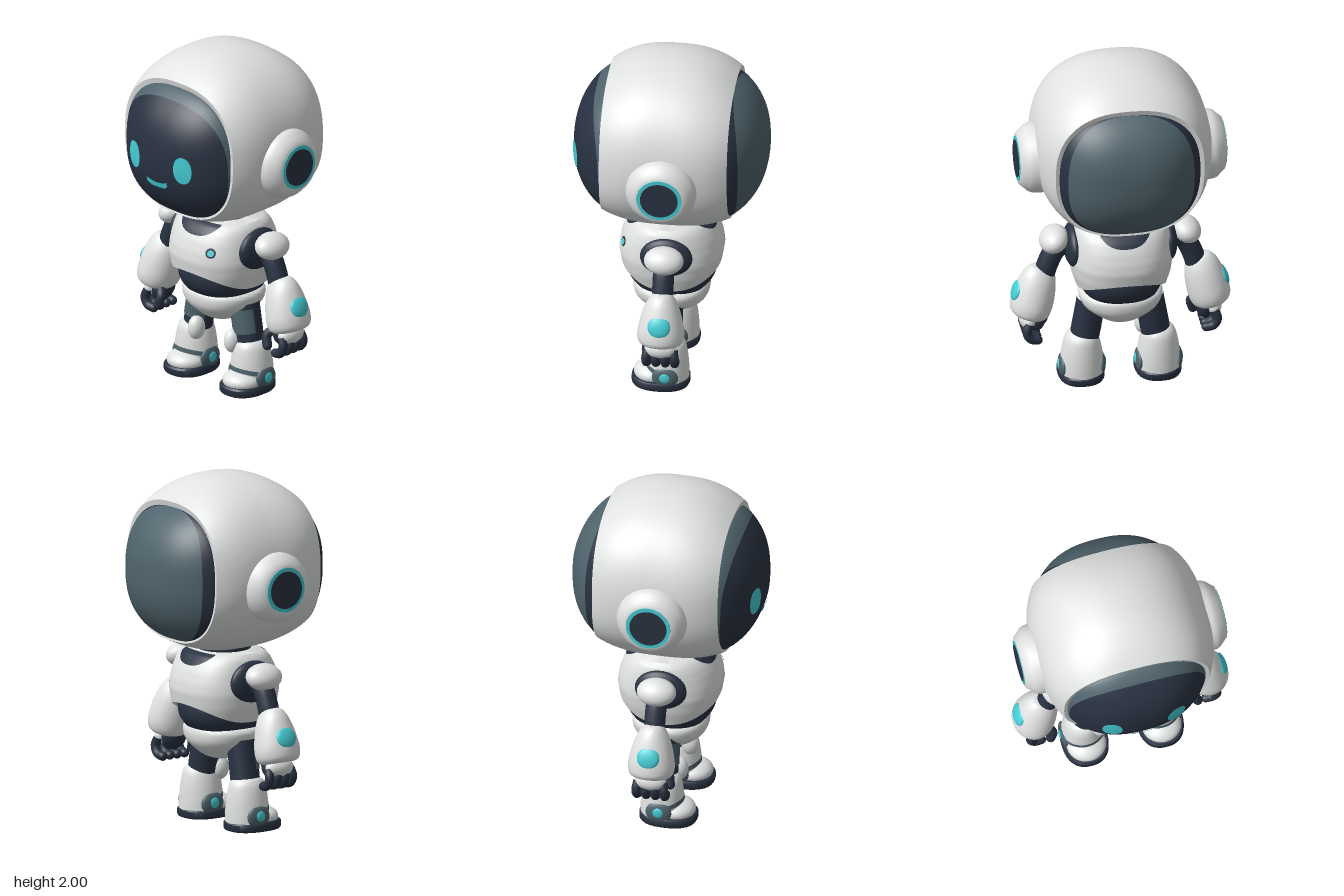
import * as THREE from 'three';
import { toCreasedNormals } from 'three/addons/utils/BufferGeometryUtils.js';
import { ParametricGeometry } from 'three/addons/geometries/ParametricGeometry.js';

const material = (name, color) => {
  const m = new THREE.MeshStandardMaterial({ color });
  m.name = name;
  return m;
};
const TAU = Math.PI * 2;
const lerp = THREE.MathUtils.lerp;
const V = (x, y, z) => new THREE.Vector3(x, y, z);

// Smooth surface from f(u, v) -> [x, y, z]
function surface(f, nu = 48, nv = 16) {
  const g = new ParametricGeometry((u, v, p) => p.set(...f(u, v)), nu, nv);
  g.deleteAttribute('uv');
  return toCreasedNormals(g, 0.7);
}

// Point on a superellipse
function oval(angle, a, b, n) {
  const c = Math.cos(angle), s = Math.sin(angle);
  return [a * Math.sign(c) * Math.abs(c) ** (2 / n), b * Math.sign(s) * Math.abs(s) ** (2 / n)];
}

// Rounded body from [y, rx, rz] sections, listed top to bottom
function loft(sections, n = 2, straight = false) {
  const pts = sections.map((s) => V(...s));
  const curve = new THREE.CatmullRomCurve3(pts);
  const last = pts.length - 1;
  return surface((u, v) => {
    const i = Math.min(last - 1, Math.floor(v * last + 1e-6));
    const p = straight ? pts[i].clone().lerp(pts[i + 1], v * last - i) : curve.getPoint(v);
    const [x, z] = oval(u * TAU, Math.max(0, p.y), Math.max(0, p.z), n);
    return [x, p.x, z];
  }, 44, straight ? last : last * 4);
}

const ball = (rx, ry, rz, x, y, z, tilt = 0) =>
  new THREE.SphereGeometry(1, 28, 18).scale(rx, ry, rz).rotateZ(tilt).translate(x, y, z);

const tube = (points, r) =>
  new THREE.TubeGeometry(new THREE.CatmullRomCurve3(points.map((p) => V(...p))), 14, r, 16);

// Mirror a geometry across x, keeping its faces outward
function mirror(geometry) {
  const g = geometry.index ? geometry.toNonIndexed() : geometry.clone();
  g.scale(-1, 1, 1);
  for (const key of ['position', 'normal']) {
    const a = g.getAttribute(key);
    for (let i = 0; i < a.count; i += 3) {
      const p = V().fromBufferAttribute(a, i + 1), q = V().fromBufferAttribute(a, i + 2);
      a.setXYZ(i + 1, q.x, q.y, q.z);
      a.setXYZ(i + 2, p.x, p.y, p.z);
    }
  }
  return g;
}

// Domed visor: height over (x, y), and rings between two outlines on it
const VY = 1.467, VN = 2.5;
function dome(x, y) {
  const r = Math.min(1, (Math.abs(x / 0.4) ** VN + Math.abs((y - VY) / 0.378) ** VN) ** (1 / VN));
  return 0.35 + 0.197 * (1 - r ** 2.4) ** 0.8;
}
const outline = (cx, cy, a, b, n = VN) => (t) => {
  const [x, y] = oval(t, a, b, n);
  return [cx + x, cy + y];
};
const domePatch = (outer, inner, lift = 0, rings = 14) => surface((u, v) => {
  const o = outer(u * TAU), i = inner(u * TAU);
  const x = lerp(o[0], i[0], v), y = lerp(o[1], i[1], v);
  return [x, y, dome(x, y) + lift];
}, 72, rings);

// Chest outline by height
const CHEST = [[1.0, 0.235, 0.175], [0.985, 0.255, 0.205], [0.95, 0.268, 0.237], [0.9, 0.277, 0.265],
  [0.84, 0.285, 0.285], [0.78, 0.29, 0.293], [0.7, 0.28, 0.28], [0.6, 0.25, 0.25]];
function chestPoint(angle, y, scale = 1) {
  let i = 0;
  while (i < CHEST.length - 2 && y < CHEST[i + 1][0]) i++;
  const [a, b] = [CHEST[i], CHEST[i + 1]];
  const t = (a[0] - y) / (a[0] - b[0]);
  const [x, z] = oval(angle, lerp(a[1], b[1], t) * scale, lerp(a[2], b[2], t) * scale, 2.4);
  return [x, y, z];
}

export function createModel() {
  const white = material('shell white', 0xe0e3e2);
  const navy = material('dark navy', 0x293242);
  const slate = material('slate', 0x4f636c);
  const cyan = material('glow cyan', 0x45cdd6);

  const model = new THREE.Group();
  model.name = 'robot';
  const group = (name) => {
    const g = new THREE.Group();
    g.name = name;
    model.add(g);
    return g;
  };
  const add = (parent, name, geometry, mat) => {
    const mesh = new THREE.Mesh(geometry, mat);
    mesh.name = name;
    parent.add(mesh);
    return mesh;
  };
  const pair = (parent, name, geometry, mat) => {
    add(parent, name + 'Left', geometry, mat);
    add(parent, name + 'Right', mirror(geometry), mat);
  };

  // Head shell, with a lip turned in around each visor
  const head = group('head');
  add(head, 'headShell', surface((u, v) => {
    const k = Math.round(v * 26);
    const lip = k === 0 || k === 26;
    const t = THREE.MathUtils.clamp((k - 13) / 12, -1, 1), q = Math.abs(t);
    const top = 2 - 0.125 * q ** 2.3, bottom = 1 + 0.08 * q ** 2.3;
    const s = lip ? 0.92 : 1;
    const [x, y] = oval(u * TAU, (0.5 - 0.08 * q ** 3) * s, (top - bottom) / 2 * s, 2.13 + 0.32 * q * q);
    return [x, (top + bottom) / 2 + y, t * (lip ? 0.352 : 0.36)];
  }, 72, 26), white);

  // Front and back visors
  const edge = outline(0, VY, 0.4, 0.378);
  const screen = outline(0, 1.442, 0.391, 0.351);
  const backPanel = outline(0, VY, 0.357, 0.377);
  const middle = outline(0, VY, 0, 0);
  add(head, 'visorRim', domePatch(edge, screen, 0, 8), slate);
  add(head, 'visorScreen', domePatch(screen, middle), navy);
  add(head, 'backVisorSides', domePatch(edge, backPanel, 0, 8), navy).rotation.y = Math.PI;
  add(head, 'backVisorPanel', domePatch(backPanel, middle), slate).rotation.y = Math.PI;

  // Eyes and smile
  pair(head, 'eye', domePatch(outline(0.185, 1.444, 0.054, 0.079, 2.2),
    outline(0.185, 1.444, 0, 0), 0.006, 6), cyan);
  add(head, 'smile', surface((u, v) => {
    const t = 2 * u - 1, x = 0.077 * t;
    const y = lerp(1.3 + 0.02 * t ** 4, 1.33 + 0.016 * t * t, v);
    return [x, y, dome(x, y) + 0.006];
  }, 20, 3), cyan);

  // Ear pods
  const ear = (sections) => loft(sections, 2, true).rotateZ(-Math.PI / 2).translate(0, 1.428, 0);
  pair(head, 'earPod', ear([[0.575, 0, 0], [0.575, 0.125, 0.125], [0.583, 0.128, 0.128], [0.579, 0.147, 0.147],
    [0.555, 0.168, 0.168], [0.535, 0.187, 0.187], [0.51, 0.198, 0.198], [0.42, 0.202, 0.202]]), white);
  pair(head, 'earRing', ear([[0.586, 0, 0], [0.586, 0.127, 0.127], [0.57, 0.127, 0.127]]), cyan);
  pair(head, 'earDisc', ear([[0.59, 0, 0], [0.59, 0.106, 0.106], [0.575, 0.106, 0.106]]), navy);

  // Torso
  const body = group('body');
  add(body, 'neck', loft([[1.06, 0.15, 0.15], [1.0, 0.15, 0.15], [0.93, 0.15, 0.15]]), navy);
  add(body, 'chest', surface((u, v) => {
    const a = u * TAU, k = Math.round(v * 22);
    const bottom = 0.71 - 0.095 * Math.cos(a) ** 2;
    if (k === 0) return [0, 1, 0];
    return chestPoint(a, lerp(1, bottom, Math.min(1, (k - 1) / 20)), k === 22 ? 0.85 : 1);
  }, 64, 22), white);
  const collar = surface((u, v) => {
    const t = 2 * u - 1;
    return chestPoint(Math.PI / 2 - 0.54 * t, lerp(0.93 + 0.066 * t * t, 0.999, v), 1.015);
  }, 24, 8);
  add(body, 'collarFront', collar, navy);
  add(body, 'collarBack', collar, navy).rotation.y = Math.PI;
  add(body, 'belly', loft([[0.76, 0.2, 0.2], [0.7, 0.235, 0.25], [0.62, 0.23, 0.247], [0.54, 0.2, 0.19]], 2.3), navy);
  add(body, 'pelvis', loft([[0.575, 0, 0], [0.575, 0.2, 0.18], [0.55, 0.236, 0.212], [0.49, 0.222, 0.21],
    [0.43, 0.155, 0.165], [0.385, 0.09, 0.1], [0.365, 0, 0]], 2.2), white);

  // Chest light, laid on the chest surface
  const chestDot = (r, scale) => surface((u, v) => {
    const a = u * TAU, d = r * (1 - v);
    return chestPoint(1.106 - d * Math.cos(a) / 0.24, 0.857 + d * Math.sin(a), scale);
  }, 24, 4);
  add(body, 'chestLightRing', chestDot(0.028, 1.012), navy);
  add(body, 'chestLight', chestDot(0.018, 1.02), cyan);

  // Arms
  const arms = group('arms');
  pair(arms, 'shoulderSocket', ball(0.052, 0.12, 0.148, 0.268, 0.848, 0), navy);
  pair(arms, 'upperArm', tube([[0.25, 0.87, 0], [0.35, 0.845, 0], [0.41, 0.74, 0], [0.44, 0.62, 0]], 0.06), navy);
  pair(arms, 'shoulderPad', ball(0.085, 0.07, 0.112, 0.375, 0.895, 0, -0.5), white);
  const onForearm = (g) => g.rotateZ(0.25).translate(0.485, 0.56, 0);
  pair(arms, 'forearm', onForearm(loft([[0.175, 0, 0], [0.165, 0.06, 0.05], [0.13, 0.088, 0.077], [0.08, 0.104, 0.1],
    [0, 0.117, 0.122], [-0.07, 0.119, 0.132], [-0.115, 0.11, 0.122], [-0.135, 0.08, 0.09], [-0.12, 0, 0]])), white);
  pair(arms, 'forearmLight', onForearm(ball(0.024, 0.062, 0.064, 0.103, 0, 0, 0.12)), cyan);

  // Hands
  pair(arms, 'handBack', ball(0.05, 0.055, 0.09, 0.522, 0.405, 0, 0.3), white);
  pair(arms, 'palm', ball(0.05, 0.08, 0.08, 0.47, 0.405, 0, 0.2), navy);
  const finger = (name, points, r) => {
    pair(arms, name, tube(points, r), navy);
    pair(arms, name + 'Tip', ball(r, r, r, ...points[points.length - 1]), navy);
  };
  for (let i = 0; i < 4; i++) {
    const z = -0.08 + i * 0.053;
    finger('finger' + (i + 1), [[0.52, 0.4, z * 0.9], [0.538, 0.35, z], [0.515, 0.308, z], [0.475, 0.298, z * 0.95]], 0.026);
  }
  finger('thumb', [[0.445, 0.43, 0.05], [0.412, 0.39, 0.08], [0.425, 0.335, 0.09]], 0.027);

  // Thighs and knees
  const legs = group('legs');
  const thigh = (r, h, y, ...arc) => new THREE.CylinderGeometry(r, r, h, 28, 1, true, ...arc)
    .translate(0, y, 0).rotateZ(0.17).translate(0.183, 0.37, 0);
  pair(legs, 'thigh', thigh(0.083, 0.26, 0), navy);
  pair(legs, 'thighPanel', thigh(0.087, 0.14, 0.03, -1.1, 2.4), slate);
  pair(legs, 'knee', ball(0.046, 0.07, 0.052, 0.14, 0.278, 0.076), white);

  // Boots
  const LX = 0.217;
  pair(legs, 'boot', loft([[0.305, 0, 0], [0.298, 0.06, 0.06], [0.27, 0.09, 0.097], [0.2, 0.11, 0.114],
    [0.1, 0.123, 0.123], [0.03, 0.126, 0.125]]).translate(LX, 0, 0), white);
  pair(legs, 'toeCap', ball(0.112, 0.06, 0.108, LX, 0.066, 0.08), white);
  pair(legs, 'sole', loft([[0.05, 0, 0], [0.05, 0.125, 0.155], [0.04, 0.131, 0.164], [0.01, 0.131, 0.164],
    [0, 0.126, 0.158], [0, 0, 0]], 2.4, true).translate(LX, 0, 0.035), navy);
  pair(legs, 'bootBand', surface((u, v) => {
    const a = u * Math.PI, y = 0.105 + 0.03 * Math.sin(a) - 0.026 * (v - 0.5);
    const r = 0.139 - 0.13 * y;
    return [LX + r * Math.cos(a), y, r * Math.sin(a)];
  }, 30, 2), slate);
  for (const [side, d] of [['Outer', 1], ['Inner', -1]]) {
    pair(legs, 'ankleDisc' + side, ball(0.026, 0.066, 0.074, LX + d * 0.108, 0.085, 0), slate);
    pair(legs, 'ankleLight' + side, ball(0.012, 0.033, 0.033, LX + d * 0.126, 0.09, 0), cyan);
  }
  return model;
}
